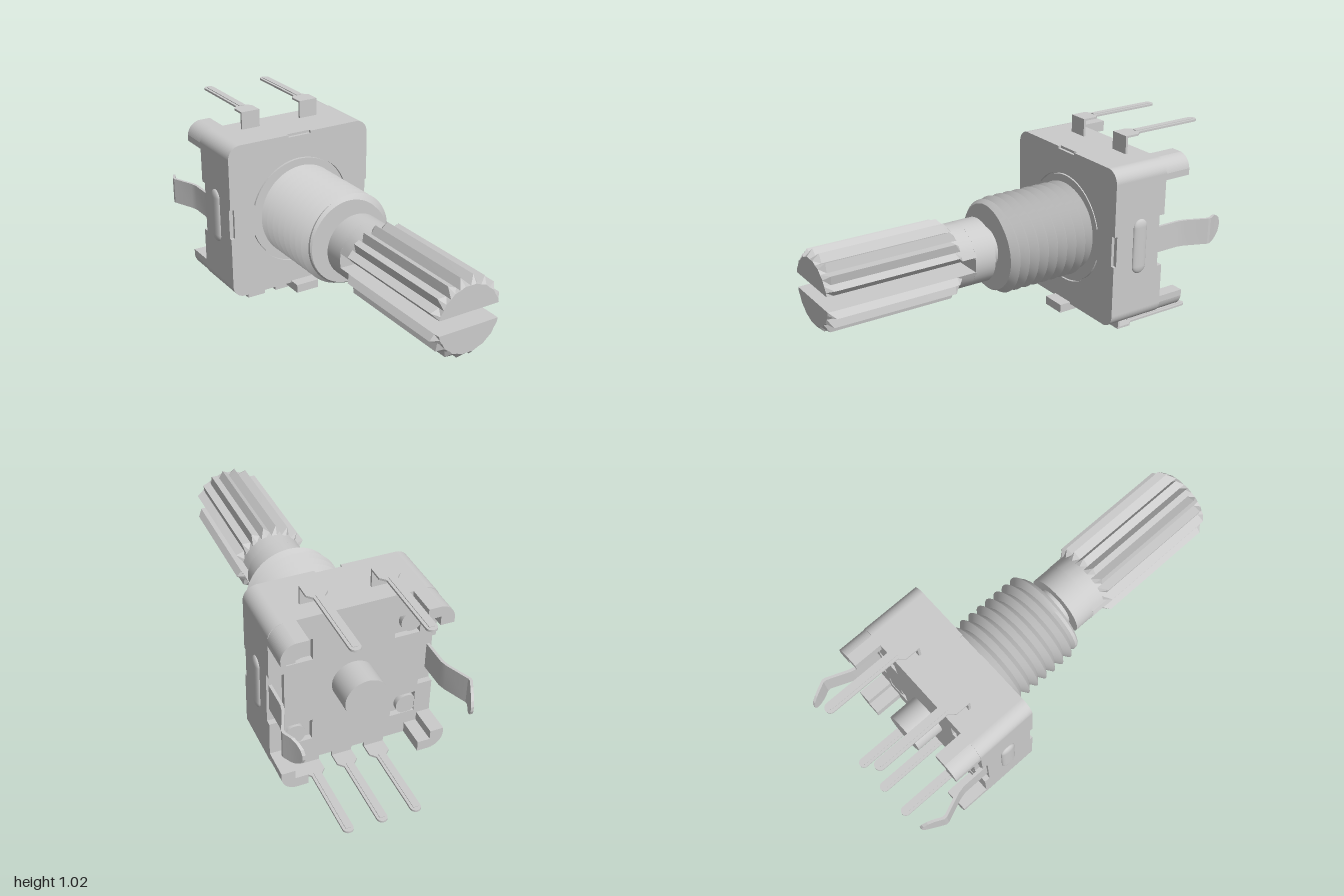
import * as THREE from 'three';
import { toCreasedNormals } from 'three/addons/utils/BufferGeometryUtils.js';

const V = (x, y, z) => new THREE.Vector3(x, y, z);
const W = 0.39, H = 0.397, R = 0.065;

export function createModel() {
  const model = new THREE.Group();
  const root = new THREE.Group();
  root.name = 'rotaryEncoder';
  root.position.y = 0.53;
  model.add(root);
  const mat = new THREE.MeshStandardMaterial({ color: 0xcccccc });

  const add = (geo, name, x = 0, y = 0, z = 0) => {
    const m = new THREE.Mesh(geo, mat);
    m.name = name;
    m.position.set(x, y, z);
    root.add(m);
    return m;
  };
  const box = (name, x0, x1, y0, y1, z0, z1) =>
    add(new THREE.BoxGeometry(x1 - x0, y1 - y0, z1 - z0), name, (x0 + x1) / 2, (y0 + y1) / 2, (z0 + z1) / 2);
  const slab = (name, shape, z0, z1) =>
    add(new THREE.ExtrudeGeometry(shape, { depth: z1 - z0, bevelEnabled: false, curveSegments: 16 }), name, 0, 0, z0);
  const rod = (name, r, z0, z1, x = 0, y = 0) =>
    add(new THREE.CylinderGeometry(r, r, z1 - z0, 48).rotateX(Math.PI / 2), name, x, y, (z0 + z1) / 2);

  // Skin through loops (counter-clockwise from +z) with fan caps
  const loft = (loops, closed = true) => {
    const pos = [];
    const tri = (...p) => p.forEach((v) => pos.push(v.x, v.y, v.z));
    const n = loops[0].length, edges = closed ? n : n - 1;
    const mid = (l) => l.reduce((s, p) => s.add(p), V(0, 0, 0)).divideScalar(n);
    const first = loops[0], last = loops[loops.length - 1];
    const c0 = mid(first), c1 = mid(last);
    for (let j = 0; j < edges; j++) {
      const k = (j + 1) % n;
      for (let i = 0; i + 1 < loops.length; i++) {
        const a = loops[i], b = loops[i + 1];
        tri(a[j], a[k], b[k]);
        tri(a[j], b[k], b[j]);
      }
      tri(c0, first[k], first[j]);
      tri(c1, last[j], last[k]);
    }
    const g = new THREE.BufferGeometry();
    g.setAttribute('position', new THREE.Float32BufferAttribute(pos, 3));
    return toCreasedNormals(g, 0.3);
  };

  // Rounded body outline; nx, ny cut the middle of the sides and ends
  const outline = (nx, dx, ny, dy) => {
    const s = new THREE.Shape();
    s.moveTo(W, -H + R);
    if (dx) [[W, -nx], [W - dx, -nx], [W - dx, nx], [W, nx]].forEach((p) => s.lineTo(...p));
    s.lineTo(W, H - R);
    s.absarc(W - R, H - R, R, 0, Math.PI / 2);
    if (dy) [[ny, H], [ny, H - dy], [-ny, H - dy], [-ny, H]].forEach((p) => s.lineTo(...p));
    s.lineTo(-W + R, H);
    s.absarc(-W + R, H - R, R, Math.PI / 2, Math.PI);
    if (dx) [[-W, nx], [-W + dx, nx], [-W + dx, -nx], [-W, -nx]].forEach((p) => s.lineTo(...p));
    s.lineTo(-W, -H + R);
    s.absarc(-W + R, -H + R, R, Math.PI, Math.PI * 1.5);
    s.lineTo(W - R, -H);
    s.absarc(W - R, -H + R, R, Math.PI * 1.5, Math.PI * 2);
    return s;
  };

  // Housing: core, front plate with curved seams, rear plate with pockets
  slab('housing', outline(0, 0, 0, 0), -0.607, -0.355);
  const front = outline(0.076, 0.02, 0.062, 0.012);
  for (const [r, a, b] of [[0.265, 16, 164], [0.271, 198, 342]]) {
    const seam = new THREE.Path();
    const a0 = THREE.MathUtils.degToRad(a), a1 = THREE.MathUtils.degToRad(b);
    seam.absarc(0, 0, r + 0.007, a0, a1, false);
    seam.absarc(0, 0, r, a1, a0, true);
    seam.closePath();
    front.holes.push(seam);
  }
  slab('frontPlate', front, -0.355, -0.34);
  const rear = outline(0.13, 0.07, 0, 0);
  for (const sx of [-1, 1]) for (const sy of [-1, 1]) {
    const pocket = [[0.19, 0.17], [0.31, 0.17], [0.31, 0.28], [0.19, 0.28]];
    rear.holes.push(new THREE.Path(pocket.map(([x, y]) => new THREE.Vector2(x * sx, y * sy))));
    rod('rivet', 0.05, -0.632, -0.6, sx * 0.27, sy * 0.235);
    // Corner feet
    const f = new THREE.Shape();
    f.moveTo(sx * 0.265, sy * 0.345);
    f.lineTo(sx * 0.265, sy * H);
    f.lineTo(sx * (W - R), sy * H);
    f.quadraticCurveTo(sx * (W - 0.01), sy * (H - 0.01), sx * W, sy * (H - R));
    f.lineTo(sx * W, sy * 0.3);
    f.lineTo(sx * 0.325, sy * 0.3);
    f.lineTo(sx * 0.325, sy * 0.345);
    slab('cornerFoot', f, -0.775, -0.63);
  }
  slab('rearPlate', rear, -0.635, -0.607);
  rod('rearPost', 0.1, -0.775, -0.63);
  box('locatingTab', -0.062, 0.062, -0.43, -0.387, -0.435, -0.28);

  // Side bumps and spring clips
  for (const s of [-1, 1]) {
    const bump = add(new THREE.CapsuleGeometry(0.039, 0.197, 8, 20), 'sideBump', s * W, 0, -0.49);
    bump.scale.x = 0.4;
    const path = [[0.38, -1, 0.012], [0.384, -0.99, 0.035], [0.393, -0.967, 0.054], [0.405, -0.94, 0.065],
      [0.425, -0.9, 0.066], [0.425, -0.885, 0.066], [0.38, -0.775, 0.066], [0.372, -0.74, 0.066], [0.372, -0.6, 0.066]];
    add(loft(path.map(([x, z, w]) => [V(s * x - 0.007, -w, z), V(s * x + 0.007, -w, z),
      V(s * x + 0.007, w, z), V(s * x - 0.007, w, z)])), 'springClip');
  }

  // Bent terminals: two above, three below
  const terminal = (x, s) => {
    const yEnd = s > 0 ? 0.48 : -0.523;
    const [lo, hi] = s > 0 ? [0.38, yEnd] : [yEnd, -0.38];
    box('terminalTab', x - 0.049, x + 0.049, lo, hi, -0.542, -0.53);
    const p = new THREE.Shape();
    p.moveTo(-0.049, 0.53);
    p.lineTo(0.049, 0.53);
    p.lineTo(0.049, 0.605);
    p.lineTo(0.025, 0.63);
    p.lineTo(0.025, 0.975);
    p.absarc(0, 0.975, 0.025, 0, Math.PI);
    p.lineTo(-0.025, 0.63);
    p.lineTo(-0.049, 0.605);
    const g = new THREE.ExtrudeGeometry(p, { depth: 0.01, bevelEnabled: false });
    add(g.rotateX(-Math.PI / 2), 'terminalPin', x, yEnd - 0.005, 0);
    box('terminalRib', x - 0.012, x + 0.012, yEnd - 0.007, yEnd + 0.008, -0.98, -0.62);
  };
  for (const x of [-0.163, 0.163]) terminal(x, 1);
  for (const x of [-0.163, 0, 0.163]) terminal(x, -1);

  // Threaded bushing: helical ridge trimmed at both ends
  const z0 = -0.345, z1 = 0.112, pitch = 0.053, seg = 72, turns = 10;
  const loops = [];
  for (let k = -4; k <= turns * 4; k++) {
    const loop = [];
    for (let j = 0; j <= seg; j++) {
      const a = (j / seg) * Math.PI * 2, t = j / seg;
      const z = THREE.MathUtils.clamp(z0 + pitch * (k / 4 + t), z0, z1);
      const u = (z - z0) / pitch - t;
      const wave = Math.abs((((u % 1) + 1) % 1) * 2 - 1);
      const r = Math.min(0.198 + 0.034 * wave, 0.208 + (z1 - z));
      loop.push(V(r * Math.cos(a), r * Math.sin(a), z));
    }
    loops.push(loop);
  }
  add(loft(loops, false), 'threadedBushing');

  // Shaft: neck, collar, then two splined halves either side of the slot
  rod('shaftNeck', 0.1, 0.1, 0.17);
  rod('shaftCollar', 0.154, 0.16, 0.266);
  const sections = [[0.26, 0.154, 0.154], [0.335, 0.154, 0.154], [0.365, 0.188, 0.156],
    [0.97, 0.188, 0.156], [1, 0.158, 0.154]];
  for (const turn of [0, Math.PI]) {
    const half = sections.map(([z, peak, valley]) => {
      const loop = [];
      for (let d = 10; d <= 170; d += 10) {
        const a = THREE.MathUtils.degToRad(d), r = d % 20 ? valley : peak;
        loop.push(V(r * Math.cos(a), Math.max(0.036, r * Math.sin(a)), z));
      }
      return loop;
    });
    add(loft(half), 'splinedShaftHalf').rotation.z = turn;
  }
  return model;
}
